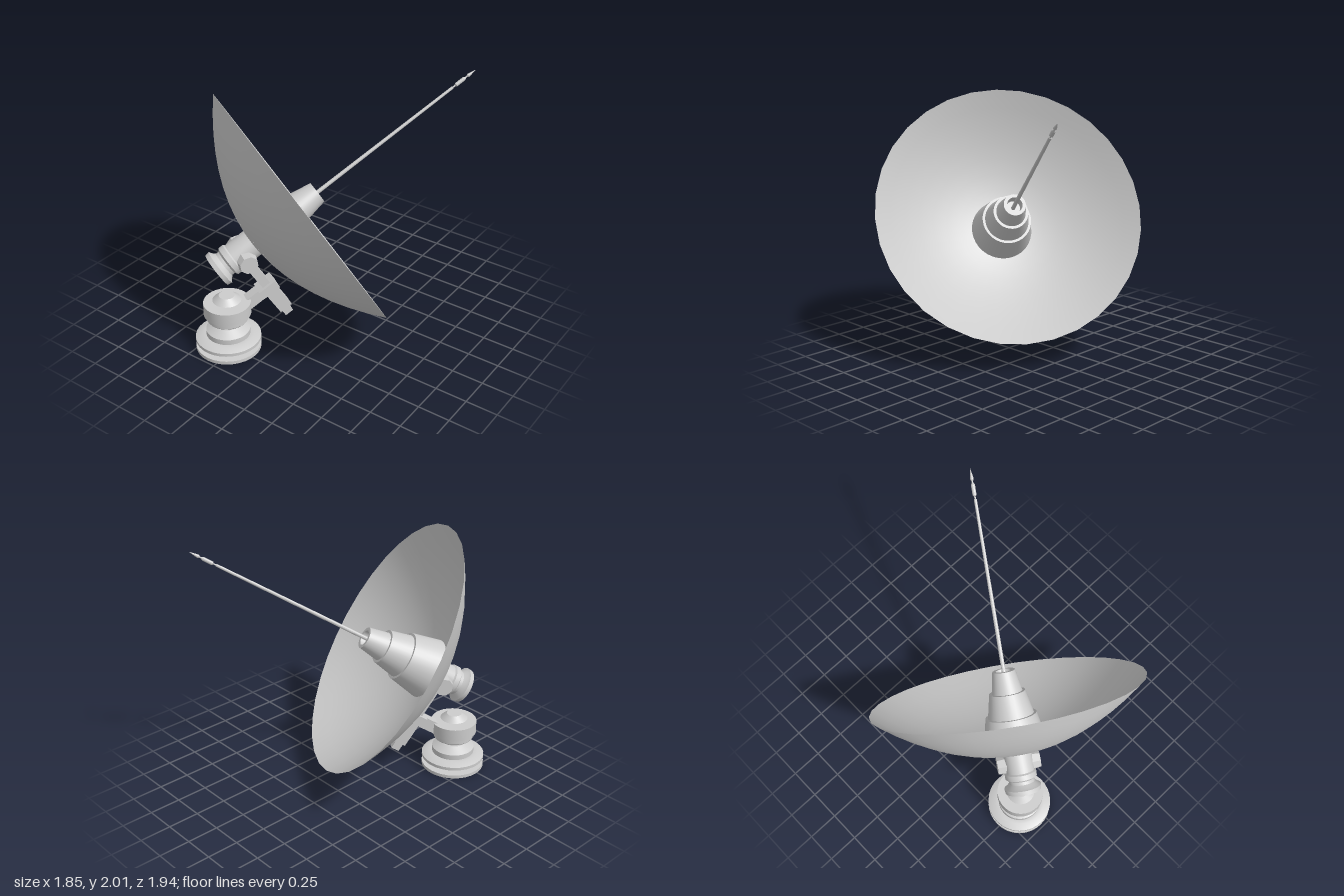
import * as THREE from 'three';
import { toCreasedNormals } from 'three/addons/utils/BufferGeometryUtils.js';

const grey = new THREE.MeshStandardMaterial({ color: 0xcccccc });
const greyThin = new THREE.MeshStandardMaterial({ color: 0xcccccc, side: THREE.DoubleSide });

function add(parent, name, geometry, material = grey) {
  const mesh = new THREE.Mesh(geometry, material);
  mesh.name = name;
  parent.add(mesh);
  return mesh;
}

// Turned part from [radius, height] pairs listed bottom to top, with sharp steps
function turned(parent, name, profile, sides = 32) {
  const lathe = new THREE.LatheGeometry(profile.map(([r, y]) => new THREE.Vector2(r, y)), sides);
  return add(parent, name, toCreasedNormals(lathe, 0.45));
}

function box(parent, name, size, position) {
  const mesh = add(parent, name, new THREE.BoxGeometry(...size));
  mesh.position.set(...position);
  return mesh;
}

function disc(parent, name, r, y0, y1) {
  return turned(parent, name, [[0, y0], [r, y0], [r, y1], [0, y1]]);
}

function buildPedestal() {
  const base = new THREE.Group();
  base.name = 'pedestal';
  disc(base, 'groundPlate', 0.253, 0, 0.027);
  disc(base, 'spindle', 0.035, 0.02, 0.44);
  turned(base, 'steppedFoot', [
    [0, 0.075], [0.253, 0.075], [0.253, 0.1], [0.2, 0.122], [0.17, 0.122],
    [0.17, 0.165], [0.1, 0.207], [0, 0.207],
  ]);
  for (const y of [0.217, 0.237]) disc(base, 'neckRing', 0.1, y, y + 0.009);
  turned(base, 'turret', [
    [0, 0.255], [0.155, 0.255], [0.16, 0.262], [0.16, 0.305], [0.182, 0.305],
    [0.182, 0.405], [0, 0.405],
  ]);
  turned(base, 'turretCap', [[0, 0.425], [0.11, 0.425], [0.06, 0.466], [0, 0.466]]);
  return base;
}

function buildReflector() {
  // Local y runs along the dish axis, local z runs down the dish
  const group = new THREE.Group();
  group.name = 'reflector';
  const R = 1.047, depth = 0.45, rings = 9;

  // Parabolic bowl
  const bowl = [];
  for (let i = 0; i <= rings; i++) {
    const r = R * i / rings;
    bowl.push(new THREE.Vector2(r, -depth * (1 - (r / R) ** 2)));
  }
  add(group, 'dish', new THREE.LatheGeometry(bowl, 32), greyThin);

  // Stepped feed horn with a hollow mouth
  turned(group, 'feedHorn', [
    [0, -0.44], [0.245, -0.425], [0.195, -0.18], [0.175, -0.18], [0.137, 0],
    [0.116, 0], [0.086, 0.165], [0.06, 0.165], [0.055, 0.09], [0, 0.09],
  ]);

  // Tapered rod ending in two beads and a spike
  turned(group, 'antennaRod', [
    [0, 0.09], [0.016, 0.09], [0.011, 1.44], [0.006, 1.445], [0.006, 1.462],
    [0.015, 1.472], [0.015, 1.545], [0.006, 1.562], [0.006, 1.572],
    [0.013, 1.585], [0.011, 1.605], [0, 1.66],
  ], 12);

  // Drive hub behind the bowl
  turned(group, 'driveHub', [
    [0, -0.78], [0.138, -0.78], [0.142, -0.745], [0.125, -0.735], [0.1, -0.71],
    [0.1, -0.685], [0.122, -0.67], [0.122, -0.63], [0.11, -0.62], [0.11, -0.42], [0, -0.42],
  ]);

  // Elevation pivots on both sides of the hub
  for (const side of [-1, 1]) {
    const pivot = add(group, 'pivotBlock', toCreasedNormals(
      new THREE.CylinderGeometry(0.072, 0.085, 0.1, 8), 0.3));
    pivot.position.set(side * 0.115, -0.56, 0.03);
    pivot.rotation.z = -side * Math.PI / 2;
    box(group, 'liftBar', [0.032, 0.07, 0.32], [side * 0.026, -0.57, 0.23]);
  }

  // Actuator arm and its link to the turret
  box(group, 'liftCore', [0.03, 0.045, 0.32], [0, -0.57, 0.23]);
  box(group, 'armClamp', [0.135, 0.15, 0.075], [0, -0.575, 0.405]);
  box(group, 'actuatorHousing', [0.1, 0.105, 0.22], [0, -0.57, 0.55]);
  box(group, 'actuatorEnd', [0.065, 0.07, 0.07], [0, -0.575, 0.695]);
  box(group, 'turretLink', [0.08, 0.28, 0.095], [0, -0.715, 0.415]);
  return group;
}

export function createModel() {
  const model = new THREE.Group();
  model.name = 'satelliteDish';

  // Everything lies in one vertical plane, turned about the pedestal
  const yaw = new THREE.Group();
  yaw.name = 'turntable';
  yaw.position.set(-0.325, 0, 0.725);
  yaw.rotation.y = Math.atan2(0.54, -0.84);
  model.add(yaw);

  yaw.add(buildPedestal());
  const reflector = buildReflector();
  reflector.position.set(0, 1.116, 0.598);
  reflector.rotation.x = 1.018;
  yaw.add(reflector);
  return model;
}
